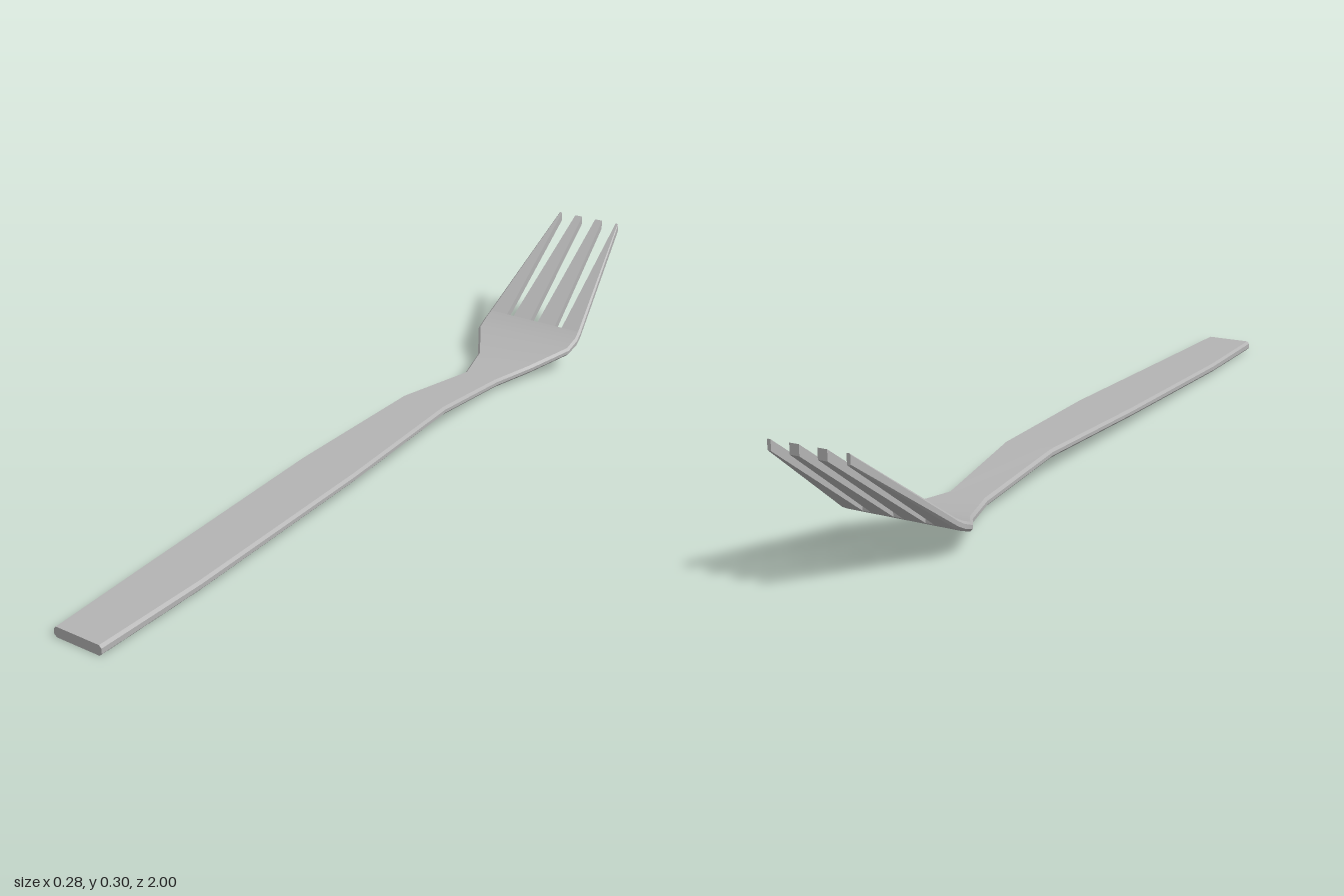
import * as THREE from 'three';
import { toCreasedNormals } from 'three/addons/utils/BufferGeometryUtils.js';

// Octagonal strip section: x range, top height, thickness, chamfer on each side
function section({ z, x0, x1, top, t, c0 = 0, c1 = 0 }) {
  const b = top - t;
  return [
    [x1 - c1, b], [x1, b + c1], [x1, top - c1], [x1 - c1, top],
    [x0 + c0, top], [x0, top - c0], [x0, b + c0], [x0 + c0, b],
  ].map(([x, y]) => new THREE.Vector3(x, y, z));
}

// Skin a run of sections, ordered from front (+z) to back (-z)
function loft(stations, capFront) {
  const rings = stations.map(section);
  const pts = [];
  const tri = (a, b, c) => {
    const area = b.clone().sub(a).cross(c.clone().sub(a)).length();
    if (area > 1e-9) for (const p of [a, b, c]) pts.push(p.x, p.y, p.z);
  };
  for (let s = 0; s < rings.length - 1; s++) {
    const a = rings[s], b = rings[s + 1];
    for (let i = 0; i < 8; i++) {
      const j = (i + 1) % 8;
      tri(a[i], b[i], a[j]);
      tri(a[j], b[i], b[j]);
    }
  }
  const first = rings[0], last = rings[rings.length - 1];
  for (let i = 1; i < 7; i++) {
    if (capFront) tri(first[0], first[i], first[i + 1]);
    tri(last[0], last[i + 1], last[i]);
  }
  const g = new THREE.BufferGeometry();
  g.setAttribute('position', new THREE.Float32BufferAttribute(pts, 3));
  return toCreasedNormals(g, 0.6);
}

export function createModel() {
  const fork = new THREE.Group();
  fork.name = 'fork';
  const steel = new THREE.MeshStandardMaterial({ color: 0xb4b4b4 });
  steel.name = 'steel';
  const add = (name, geometry) => {
    const mesh = new THREE.Mesh(geometry, steel);
    mesh.name = name;
    fork.add(mesh);
  };

  // Handle, neck and head: z, half width, top height, thickness
  const body = [
    [1, 0.062, 0.024, 0.024],
    [0.72, 0.071, 0.03, 0.022],
    [0.2, 0.075, 0.05, 0.02],
    [-0.19, 0.062, 0.061, 0.02],
    [-0.455, 0.048, 0.032, 0.02],
    [-0.57, 0.08, 0.037, 0.02],
    [-0.665, 0.137, 0.067, 0.02],
    [-0.7, 0.14, 0.082, 0.022],
    [-0.72, 0.138, 0.094, 0.023],
  ];
  add('handleAndHead', loft(body.map(([z, w, top, t]) =>
    ({ z, x0: -w, x1: w, top, t, c0: 0.006, c1: 0.006 })), true));

  // Tines, mirrored in pairs: root and tip edges from inner to outer
  const tines = [
    { name: 'innerTine', root: [0.011, 0.063], tip: [0.02, 0.041], c: [0, 0] },
    { name: 'outerTine', root: [0.083, 0.138], tip: [0.082, 0.09], c: [0.006, 0.002] },
  ];
  for (const { name, root, tip, c } of tines) {
    for (const side of [1, -1]) {
      const stop = (z, [inner, outer], top, t, c) => side > 0
        ? { z, x0: inner, x1: outer, top, t, c1: c }
        : { z, x0: -outer, x1: -inner, top, t, c0: c };
      add(name + (side > 0 ? 'Left' : 'Right'), loft([
        stop(-0.72, root, 0.094, 0.023, c[0]),
        stop(-1, tip, 0.303, 0.023, c[1]),
      ], false));
    }
  }
  return fork;
}
